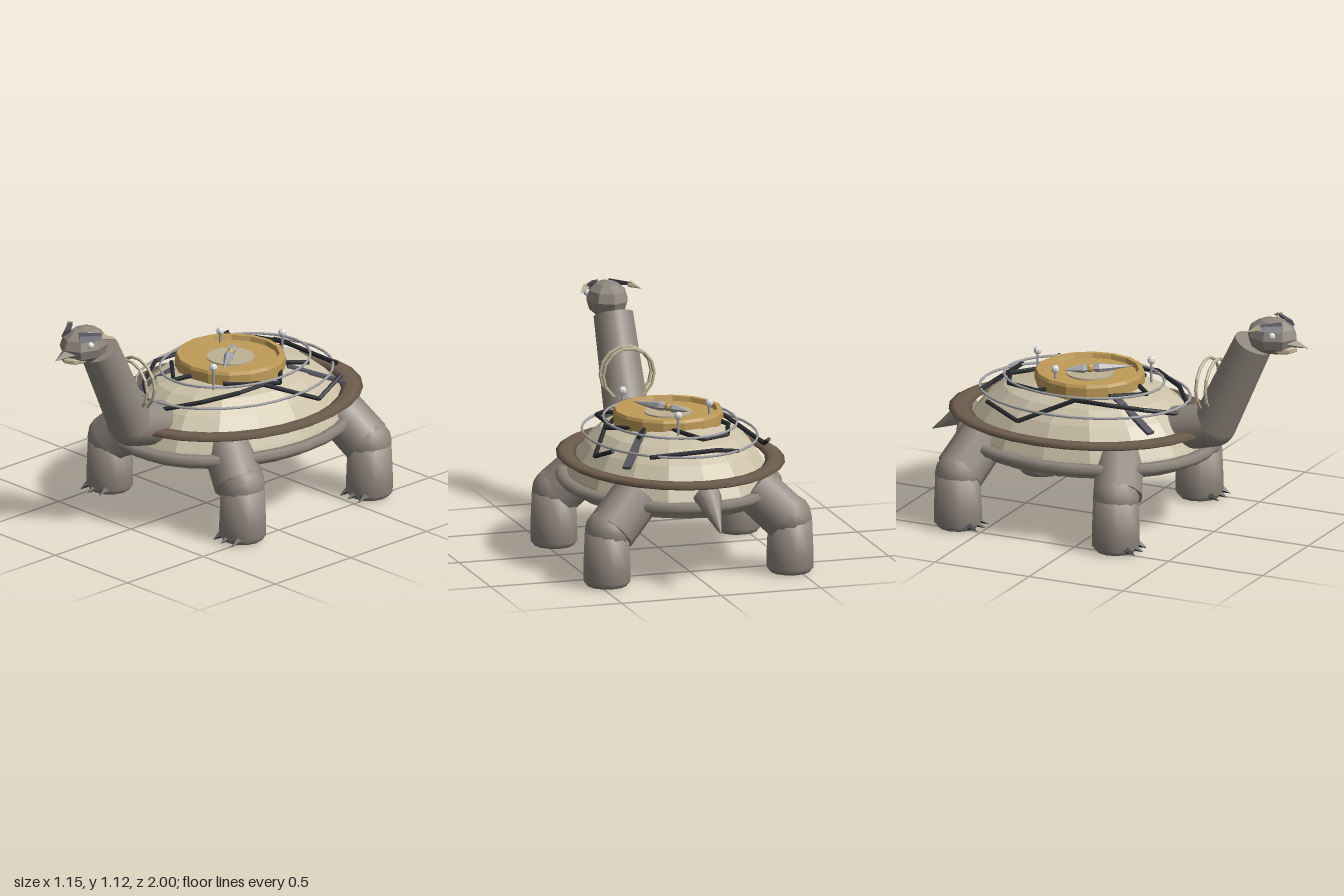
import * as THREE from 'three';

const mat = (name, color) => {
  const m = new THREE.MeshStandardMaterial({ color });
  m.name = name;
  return m;
};
const V = (p) => new THREE.Vector3(...p);

export function createModel() {
  const root = new THREE.Group();
  root.name = 'shelledCreature';
  const skin = mat('grey skin', 0x8f877d);
  const shellMat = mat('pale shell', 0xcbc1a8);
  const bellyMat = mat('belly', 0xa39a84);
  const brown = mat('brown rim', 0x6e5d4e);
  const gold = mat('gold', 0xc19c58);
  const silver = mat('silver', 0xa6a6aa);
  const dark = mat('dark cable', 0x25272b);
  const slate = mat('slate', 0x56545e);
  const bone = mat('bone', 0xbdb294);
  const white = mat('white', 0xdedede);

  const add = (name, geo, material, pos = [0, 0, 0], parent = root) => {
    const m = new THREE.Mesh(geo, material);
    m.name = name;
    m.position.set(...pos);
    parent.add(m);
    return m;
  };
  // Faceted version of a geometry
  const flat = (g) => {
    const f = g.index ? g.toNonIndexed() : g;
    f.computeVertexNormals();
    return f;
  };
  // Tapered cylinder running from a to b
  const limb = (name, a, b, ra, rb, material, sides = 12, faceted = false, parent = root) => {
    const A = V(a), B = V(b), d = B.clone().sub(A);
    let g = new THREE.CylinderGeometry(rb, ra, d.length(), sides);
    if (faceted) g = flat(g);
    const m = add(name, g, material, A.clone().add(B).multiplyScalar(0.5).toArray(), parent);
    m.quaternion.setFromUnitVectors(new THREE.Vector3(0, 1, 0), d.normalize());
    return m;
  };
  // Oval ring lying flat
  const oval = (name, rx, rz, tube, squash, y, z, material, radial = 6, seg = 28, faceted = false) => {
    const g = new THREE.TorusGeometry(rz, tube, radial, seg);
    g.rotateX(Math.PI / 2);
    g.scale(rx / rz, squash, 1);
    return add(name, faceted ? flat(g) : g, material, [0, y, z]);
  };
  const lathe = (pts, seg) => new THREE.LatheGeometry(pts.map((p) => new THREE.Vector2(...p)), seg);

  // Shell dome and underside
  const dome = lathe([[1, 0.37], [0.965, 0.42], [0.91, 0.485], [0.8, 0.565], [0.66, 0.63], [0.4, 0.68], [0, 0.70]], 16);
  dome.scale(0.49, 1, 0.625);
  add('shellDome', flat(dome), shellMat, [0, 0, -0.18]);
  const belly = lathe([[0, 0.305], [0.75, 0.31], [0.93, 0.33], [1, 0.37]], 24);
  belly.scale(0.49, 1, 0.625);
  add('belly', belly, bellyMat, [0, 0, -0.18]);
  oval('brownRim', 0.49, 0.612, 0.058, 0.3, 0.502, -0.195, brown);
  oval('lowerRim', 0.5, 0.615, 0.04, 0.7, 0.388, -0.17, skin);
  oval('upperHoop', 0.312, 0.4, 0.007, 0.9, 0.683, -0.19, silver, 6, 32);
  oval('lowerHoop', 0.41, 0.525, 0.007, 0.9, 0.617, -0.185, silver, 6, 32);

  // Compass dial
  const dial = new THREE.Group();
  dial.name = 'dial';
  dial.position.set(0, 0, -0.16);
  root.add(dial);
  add('dialRing', flat(lathe([[0.255, 0.64], [0.265, 0.65], [0.265, 0.715], [0.258, 0.73], [0.235, 0.73], [0.228, 0.705]], 16)), gold, [0, 0, 0], dial);
  add('dialFloor', new THREE.CylinderGeometry(0.235, 0.235, 0.06, 16), gold, [0, 0.677, 0], dial);
  add('dialPlate', new THREE.CylinderGeometry(0.115, 0.115, 0.008, 20), bone, [0, 0.71, 0], dial);
  limb('needleLong', [0.025, 0.73, 0.033], [0.125, 0.73, 0.165], 0.026, 0.001, silver, 6, true, dial);
  limb('needleLongBase', [0, 0.73, 0], [0.025, 0.73, 0.033], 0.008, 0.026, silver, 6, true, dial);
  limb('needleShort', [-0.02, 0.73, -0.027], [-0.075, 0.73, -0.1], 0.022, 0.001, silver, 6, true, dial);
  limb('needleShortBase', [0, 0.73, 0], [-0.02, 0.73, -0.027], 0.008, 0.022, silver, 6, true, dial);
  add('needleHub', flat(new THREE.SphereGeometry(0.02, 8, 6)), gold, [0, 0.732, 0], dial);

  // Pins with round heads
  for (const [x, z] of [[-0.175, -0.26], [0.045, -0.46], [0.148, 0.095]]) {
    limb('pinStem', [x, 0.64, z], [x, 0.765, z], 0.006, 0.006, silver, 6);
    add('pinHead', flat(new THREE.SphereGeometry(0.02, 8, 6)), white, [x, 0.765, z]);
  }

  // Zigzag cables over the shell
  const cable = (pts) => {
    for (let i = 0; i + 1 < pts.length; i++) limb('cable', pts[i], pts[i + 1], 0.011, 0.011, dark, 6);
  };
  for (const s of [-1, 1]) {
    cable([[s * 0.04, 0.585, 0.35], [s * 0.2, 0.635, 0.22], [s * 0.29, 0.665, 0.06], [s * 0.29, 0.665, -0.1],
      [s * 0.425, 0.565, -0.34], [s * 0.39, 0.63, -0.52]]);
  }
  cable([[-0.2, 0.615, -0.64], [-0.1, 0.625, -0.63], [0.24, 0.615, -0.635]]);
  cable([[0.06, 0.685, -0.4], [-0.05, 0.665, -0.56], [-0.19, 0.665, -0.5], [-0.25, 0.67, -0.32], [-0.17, 0.69, -0.2]]);
  cable([[-0.2, 0.68, 0.04], [-0.05, 0.665, 0.17], [0.02, 0.69, 0.07]]);
  cable([[0.24, 0.67, -0.45], [0.17, 0.685, -0.33], [0.32, 0.66, -0.18], [0.17, 0.675, 0.05]]);

  // Slate strips lying on the shell
  for (const [a, b] of [[[-0.26, 0.545, 0.29], [-0.165, 0.66, 0.06]], [[0.345, 0.56, -0.59], [0.19, 0.665, -0.35]]]) {
    const d = V(b).sub(V(a));
    const m = add('slateStrip', new THREE.BoxGeometry(0.04, 0.014, d.length()), slate, V(a).add(V(b)).multiplyScalar(0.5).toArray());
    m.lookAt(V(b));
  }

  // Neck
  limb('neckBase', [0, 0.49, 0.28], [0, 0.545, 0.5], 0.108, 0.108, skin, 20);
  add('neckBend', new THREE.SphereGeometry(0.108, 20, 14), skin, [0, 0.545, 0.5]);
  limb('neck', [0, 0.545, 0.5], [0, 0.985, 0.71], 0.108, 0.095, skin, 20);

  // Loops of cord behind the neck
  for (const z of [0.465, 0.515]) {
    add('neckLoop', flat(new THREE.TorusGeometry(0.128, 0.008, 6, 14)), bone, [0, 0.745, z]);
  }

  // Head, beak, eyes and brow plumes
  const head = new THREE.SphereGeometry(1, 8, 6);
  head.scale(0.103, 0.09, 0.13);
  add('head', flat(head), skin, [0, 1.037, 0.81]);
  const beak = (name, a, b, r, squash, material) => {
    const m = limb(name, a, b, r, 0.001, material, 4, true);
    m.scale.z = squash;
  };
  beak('upperBeak', [0, 1.025, 0.88], [0, 1.0, 1.0], 0.06, 0.6, skin);
  const jaw = new THREE.SphereGeometry(1, 8, 5);
  jaw.scale(0.065, 0.025, 0.08);
  add('lowerJaw', flat(jaw), bone, [0, 0.982, 0.865]);
  for (const s of [-1, 1]) {
    add('eye', flat(new THREE.SphereGeometry(0.017, 8, 6)), white, [s * 0.088, 1.065, 0.85]);
    const plume = limb('browPlume', [s * 0.045, 1.1, 0.885], [s * 0.12, 1.105, 0.79], 0.032, 0.018, slate, 4, true);
    plume.scale.z = 0.45;
    limb('browTip', [s * 0.11, 1.105, 0.8], [s * 0.152, 1.09, 0.745], 0.018, 0.001, bone, 5, true);
  }

  // Legs with feet and claws
  for (const s of [-1, 1]) {
    for (const [z, back] of [[0.2, 1], [-0.64, -1]]) {
      const leg = new THREE.Group();
      leg.name = back > 0 ? 'frontLeg' : 'backLeg';
      leg.position.set(s * 0.46, 0, z);
      root.add(leg);
      limb('upperLeg', [-s * 0.17, 0.42, -back * 0.06], [-s * 0.02, 0.27, 0], 0.12, 0.122, skin, 10, false, leg);
      add('knee', new THREE.SphereGeometry(0.113, 12, 8), skin, [-s * 0.005, 0.27, 0], leg);
      add('foot', lathe([[0, 0.003], [0.095, 0.005], [0.115, 0.03], [0.115, 0.1], [0.108, 0.268], [0, 0.27]], 12), skin, [0, 0, 0], leg);
      for (const [x, cz] of [[-0.058, 0.095], [0, 0.108], [0.058, 0.095]]) {
        limb('claw', [x, 0.035, cz - 0.012], [x * 1.1, 0.015, cz + 0.038], 0.021, 0.001, dark, 4, true, leg);
      }
    }
  }

  // Tail
  limb('tail', [0, 0.44, -0.78], [0, 0.305, -1.0], 0.07, 0.001, skin, 8);
  return root;
}
